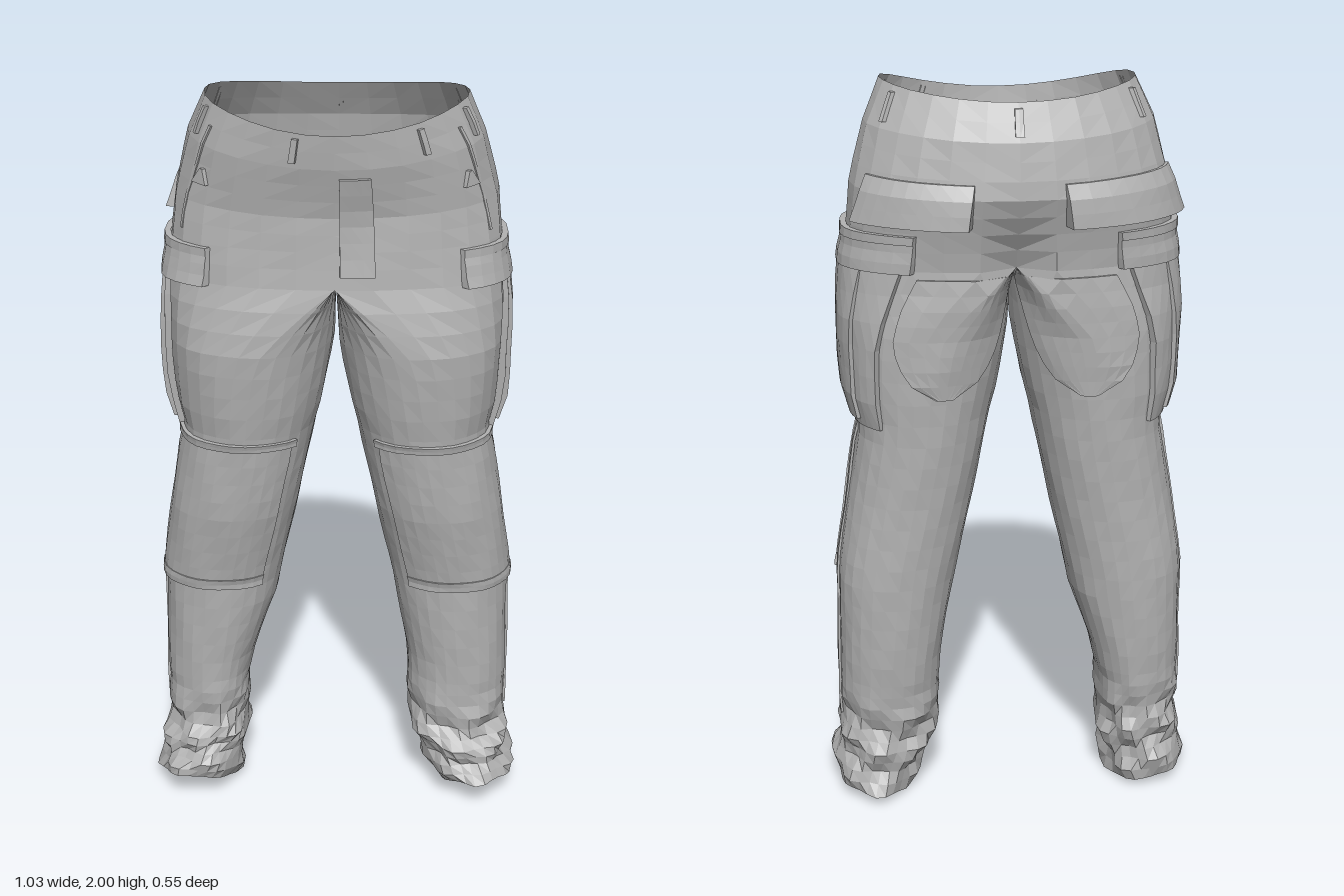
import * as THREE from 'three';

const cloth = new THREE.MeshStandardMaterial({ color: 0xb2b2b2, side: THREE.DoubleSide });
cloth.name = 'grey cloth';

// Half-garment sections: height, middle x, outer x, inner x, front z, back z, roundness
const SECTIONS = [
  [2.00, 0, .33, 0, .28, -.19, .85],
  [1.90, 0, .375, 0, .272, -.235, .75],
  [1.75, 0, .415, 0, .243, -.255, .65],
  [1.62, 0, .43, 0, .248, -.22, .62],
  [1.54, 0, .435, 0, .255, -.207, .62],
  [1.45, .11, .435, .001, .268, -.2, .68],
  [1.35, .2, .433, .007, .272, -.195, .75],
  [1.20, .225, .425, .034, .255, -.187, .78],
  [1.10, .235, .405, .06, .238, -.18, .78],
  [1.06, .24, .415, .065, .235, -.178, .78],
  [0.90, .27, .442, .1, .223, -.17, .78],
  [0.68, .315, .475, .15, .182, -.165, .78],
  [0.40, .34, .48, .2, .168, -.15, .78],
  [0.22, .345, .478, .205, .167, -.13, .78],
  [0.13, .365, .49, .235, .2, -.135, .8],
  [0.00, .395, .503, .288, .225, -.142, .8],
];
const CROTCH = 1.54;
const clamp = (t) => Math.min(1, Math.max(0, t));

function sectionAt(y) {
  let i = 0;
  while (i < SECTIONS.length - 2 && y < SECTIONS[i + 1][0]) i++;
  const p = SECTIONS[i], q = SECTIONS[i + 1];
  const t = clamp((p[0] - y) / (p[0] - q[0]));
  return p.map((v, k) => v + (q[k] - v) * t);
}

// Point on the cloth: angle a runs front (0), outer side, back (PI), inner side
function surface(side, a, y, offset = 0) {
  let [, xm, xo, xi, zf, zb, e] = sectionAt(y);
  if (side < 0) xi += .05 * clamp((.6 - y) / .3) * clamp((y - .03) / .2);
  const s = Math.sin(a), c = Math.cos(a);
  const aboveCrotch = y >= CROTCH - 1e-6;
  const onSeam = aboveCrotch && Math.abs(s) < 1e-6;
  const rx = s > 0 ? xo - xm : xm - xi;
  // small ripples on the legs, broad stacked folds at the cuffs
  const crumple = clamp((.34 - y) / .14);
  const ripple = .0025 * Math.sin(a * 5 + y * 47 + side) * Math.sin(a * 3 - y * 71 + side) +
    crumple * (.01 * Math.sin(y * 48 + 1.6 * Math.sin(2 * a + side)) + .008 * Math.sin(a * 6 - y * 33 + side));
  const d = offset + (aboveCrotch && s <= 1e-6 ? 0 : ripple);
  // the seat is rounder than the front
  if (c < 0) e += .17 * clamp((y - 1.4) / .2);
  const x = Math.max(0, xm + rx * s + (onSeam ? 0 : s * d));
  let z = (zf + zb) / 2 + (zf - zb) / 2 * Math.sign(c) * Math.abs(c) ** e + c * (onSeam ? offset : d);
  // seat cleft at the back
  if (c < 0) z += .055 * Math.exp(-((x / .055) ** 2)) * Math.exp(-(((y - 1.52) / .12) ** 2));
  // dipped waist and curved hem, lowest at the inner side
  const front = Math.max(0, c), back = Math.max(0, -c);
  const dip = clamp((y - 1.6) / .4) * (.065 * front ** 2 + .035 * back ** 2);
  const lift = clamp((.2 - y) / .2) * (.075 * front + .025 * back ** 2 + .03 * Math.max(0, s));
  return [side * x, Math.max(0, y - dip + lift), z];
}

// Faceted mesh from rows of points
function sheet(name, rows, side, keep = () => true) {
  const pos = rows.flat(2), n = rows[0].length, idx = [];
  for (let r = 0; r < rows.length - 1; r++) for (let c = 0; c < n - 1; c++) {
    if (!keep(r, c)) continue;
    const a = r * n + c, b = a + 1, d = a + n, e = d + 1;
    if (side > 0) idx.push(a, d, e, a, e, b);
    else idx.push(a, e, d, a, b, e);
  }
  let g = new THREE.BufferGeometry();
  g.setAttribute('position', new THREE.Float32BufferAttribute(pos, 3));
  g.setIndex(idx);
  g = g.toNonIndexed();
  g.computeVertexNormals();
  const mesh = new THREE.Mesh(g, cloth);
  mesh.name = name;
  return mesh;
}

// Raised panel following the cloth, with edges turned down onto it
function panel(name, side, a0, a1, yTop, yBottom, offset, { shear = 0, taper = () => 1, nu = 6, nv = 4 } = {}) {
  const off = typeof offset === 'function' ? offset : () => offset;
  const rows = [];
  for (let j = -1; j <= nv + 1; j++) {
    const v = clamp(j / nv), row = [];
    for (let i = -1; i <= nu + 1; i++) {
      const u = clamp(i / nu), edge = i < 0 || j < 0 || i > nu || j > nv;
      const a = (a0 + a1) / 2 + (u - .5) * (a1 - a0) * taper(v) + shear * v;
      row.push(surface(side, a, yTop + (yBottom - yTop) * v, edge ? -.002 : off(v, u)));
    }
    rows.push(row);
  }
  return sheet(name, rows, side);
}

function trouserHalf(side) {
  const half = new THREE.Group();
  half.name = side > 0 ? 'leftHalf' : 'rightHalf';
  const add = (name, ...args) => half.add(panel(name, side, ...args));

  // hip and leg shell; above the crotch only the outer arc is kept
  const ys = [];
  for (let i = 0; i < 9; i++) ys.push(2 - (2 - CROTCH) * i / 9);
  const split = ys.length;
  for (let i = 0; i < 20; i++) ys.push(CROTCH - (CROTCH - .36) * i / 20);
  for (let i = 0; i <= 10; i++) ys.push(.36 - .36 * i / 10);
  const N = 28;
  const rows = ys.map((y) => Array.from({ length: N + 1 }, (_, c) =>
    surface(side, c === N ? 0 : c / N * Math.PI * 2, y)));
  half.add(sheet('legShell', rows, side, (r, c) => r >= split || c < N / 2));

  // belt loops
  for (const a of [side > 0 ? .65 : .28, 1.2, 2.05])
    add('beltLoop', a - .022, a + .022, 1.985, 1.915, .01, { nu: 1, nv: 2 });

  // slanted front pocket edge and its small corner tack
  add('frontPocketEdge', 1.02, 1.05, 1.95, 1.67, .003, { shear: .12, nu: 1, nv: 6 });
  add('pocketTack', .9, 1.06, 1.84, 1.8, .01, { nu: 2, nv: 1, taper: (v) => .2 + .8 * v });

  // cargo pocket: flat base, fuller front box and a wide flap
  add('cargoPocket', 1.4, 2.42, 1.55, 1.11, (v) => .01 + .008 * Math.sin(Math.PI * v * .8), { nu: 8, nv: 6 });
  add('cargoBox', 1.42, 2.05, 1.54, 1.13, (v) => .016 + .014 * Math.sin(Math.PI * v * .8), { nu: 5, nv: 6 });
  add('cargoFlap', .82, 2.5, 1.62, 1.535, (v) => .01 + .01 * v, { nu: 12, nv: 3 });
  add('flapTopSeam', .82, 2.5, 1.635, 1.612, .014, { nu: 12, nv: 1 });

  // back pocket flap, lifting away at its lower edge
  add('backFlap', side > 0 ? 1.98 : 1.75, 2.86, 1.785, 1.665, (v, u) => .006 + (.026 + .014 * u) * v, { nu: 8, nv: 3 });

  // rounded seat patch running onto the inner thigh
  add('seatPatch', 2.55, 4.1, 1.52, 1.2, .008,
    { nu: 8, nv: 8, taper: (v) => Math.sqrt(Math.max(.02, 1 - v ** 3)) });

  // knee panel with folds above and below, and the long side seam
  add('kneePanel', -.75, 1.5, 1.1, .67, .006, { nu: 12, nv: 8 });
  add('kneeTopFold', -.8, 1.55, 1.112, 1.092, .013, { nu: 12, nv: 2 });
  add('kneeBottomFold', -.75, 1.5, .69, .66, .009, { nu: 12, nv: 2 });
  add('sideSeam', 1.57, 1.66, 1.1, .22, .005, { nu: 1, nv: 14 });
  return half;
}

export function createModel() {
  const model = new THREE.Group();
  model.name = 'cargoTrousers';
  for (const side of [1, -1]) {
    model.add(trouserHalf(side));
    // centre back loop, built as two halves
    model.add(panel('centreBackLoop', side, Math.PI - .03, Math.PI, 1.985, 1.915, .01, { nu: 1, nv: 2 }));
  }
  // fly overlap
  model.add(panel('fly', 1, .03, .23, 1.87, 1.575, .012, { nu: 3, nv: 6 }));
  return model;
}
